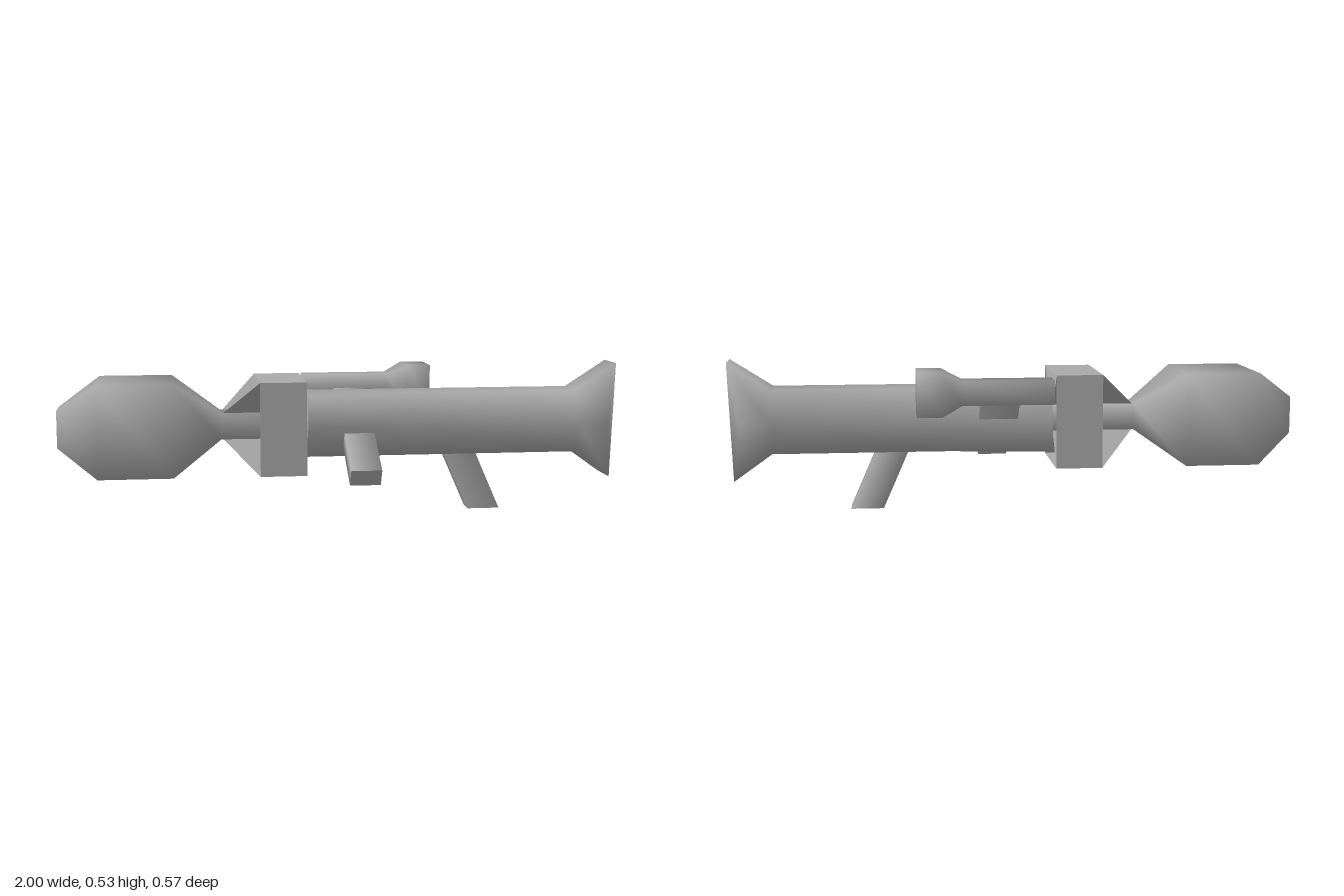
import * as THREE from 'three';

const CY = 0.321, CZ = -0.011; // long axis of the launcher
const grey = new THREE.MeshStandardMaterial({ color: 0xaaaaaa });
const greyThin = new THREE.MeshStandardMaterial({ color: 0xaaaaaa, side: THREE.DoubleSide });

// Cap triangles for four- and six-sided rings
const CAPS = {
  4: [[0, 1, 2], [0, 2, 3]],
  6: [[0, 1, 5], [1, 2, 4], [1, 4, 5], [2, 3, 4]],
};

// Closed skin over rings of points; corners are smoothed evenly over the
// faces that meet there, and a flat cap keeps a sharp rim
function loft(name, rings, flatStart = false, flatEnd = false) {
  const n = rings[0].length, points = rings.flat(), index = [], faces = [];
  let start = 0, end = points.length - n;
  for (let i = 0; i < end; i += n) {
    for (let j = 0; j < n; j++) {
      const a = i + j, b = i + (j + 1) % n;
      index.push(a, a + n, b, b, a + n, b + n);
      faces.push([a, a + n, b + n, b]);
    }
  }
  if (flatStart) start = points.push(...rings[0]) - n;
  if (flatEnd) end = points.push(...rings.at(-1)) - n;
  for (const [a, b, c] of CAPS[n]) index.push(start + a, start + b, start + c, end + a, end + c, end + b);
  const order = [...Array(n).keys()];
  faces.push(order.map((k) => start + k), order.map((k) => end + n - 1 - k));

  const v = points.map((p) => new THREE.Vector3(...p));
  const normals = v.map(() => new THREE.Vector3());
  for (const f of faces) {
    const across = v[f[2]].clone().sub(v[f[0]]);
    const normal = across.cross(v[f.at(-1)].clone().sub(v[f[1]])).normalize();
    for (const k of f) normals[k].add(normal);
  }
  const g = new THREE.BufferGeometry().setFromPoints(v);
  g.setAttribute('normal', new THREE.Float32BufferAttribute(
    normals.flatMap((m) => m.normalize().toArray()), 3));
  g.setIndex(index);
  const mesh = new THREE.Mesh(g, grey);
  mesh.name = name;
  return mesh;
}

// Square ring across the x axis
const square = (x, h, cy = CY, cz = CZ) =>
  [[x, cy - h, cz + h], [x, cy + h, cz + h], [x, cy + h, cz - h], [x, cy - h, cz - h]];

// Hexagonal ring across the x axis, stretched in y; x differs for side, top and bottom corners
function hexagon(xSide, xTop = xSide, xBottom = xSide, stretch = 1) {
  const r = 0.13, ring = [];
  for (let k = 0; k < 6; k++) {
    const s = Math.sin(k * Math.PI / 3);
    const x = k % 3 === 0 ? xSide : k < 3 ? xTop : xBottom;
    ring.push([x, CY + r * s * stretch, CZ + r * Math.cos(k * Math.PI / 3)]);
  }
  return ring;
}

// Straight bar lying in a y-z plane, between two [y, z] points
function bar(name, x, width, thick, a, b) {
  const len = Math.hypot(b[0] - a[0], b[1] - a[1]);
  const dy = (b[0] - a[0]) / len, dz = (b[1] - a[1]) / len;
  const w = width / 2, t = thick / 2;
  const ring = ([y, z]) => [[w, t], [w, -t], [-w, -t], [-w, t]]
    .map(([u, v]) => [x + u, y + v * dz, z - v * dy]);
  return loft(name, [ring(a), ring(b)], true, true);
}

export function createModel() {
  const model = new THREE.Group();

  // Warhead running into its shaft
  model.add(loft('warheadAndShaft', [
    [-1, 0.065], [-0.86, 0.163], [-0.6, 0.163], [-0.43, 0.047], [-0.1, 0.047],
  ].map(([x, h]) => square(x, h))));

  // Square open collar
  const collarGeometry = new THREE.CylinderGeometry(
    0.164 * Math.SQRT2, 0.164 * Math.SQRT2, 0.163, 4, 1, true, Math.PI / 4).toNonIndexed();
  collarGeometry.computeVertexNormals();
  collarGeometry.rotateZ(Math.PI / 2);
  const collar = new THREE.Mesh(collarGeometry, greyThin);
  collar.position.set(-0.2185, CY, CZ);
  collar.name = 'finCollar';
  model.add(collar);

  // Diagonal fins from the shaft out to the collar corners and through the collar
  for (const sy of [-1, 1]) {
    for (const sz of [-1, 1]) {
      const g = new THREE.BufferGeometry().setFromPoints(
        [[-0.43, 0.04], [-0.3, 0.164], [-0.138, 0.164], [-0.138, 0.04]]
          .map(([x, h]) => new THREE.Vector3(x, CY + sy * h, CZ + sz * h)));
      g.setIndex([0, 1, 2, 0, 2, 3]);
      g.computeVertexNormals();
      const fin = new THREE.Mesh(g, greyThin);
      fin.name = 'fin';
      model.add(fin);
    }
  }

  // Launch tube with squared-off muzzle corners and a tall rear flare
  const muzzle = hexagon(-0.13);
  muzzle[0][2] = muzzle[1][2] = 0.122;
  muzzle[4][2] = -0.118;
  model.add(loft('launchTube', [
    muzzle, hexagon(0.24), hexagon(0.85), hexagon(0.955, 1, 0.985, 1.855),
  ], true));

  // Sight and its mount
  model.add(loft('sight', [
    [-0.12, 0.042], [0.195, 0.042], [0.265, 0.076], [0.35, 0.076],
  ].map(([x, h]) => square(x, h, 0.436, -0.211))));
  model.add(bar('sightMount', 0.062, 0.135, 0.05, [0.33, -0.1], [0.41, -0.185]));

  // Side handle
  model.add(bar('sideHandle', 0.053, 0.107, 0.065, [0.275, 0.081], [0.166, 0.27]));

  // Raked rear grip
  const gripRing = (y, x0, x1) => [[x1, y, 0.025], [x1, y, -0.042], [x0, y, -0.042], [x0, y, 0.025]];
  model.add(loft('rearGrip', [gripRing(0.24, 0.36, 0.475), gripRing(0, 0.465, 0.58)], true, true));

  return model;
}
